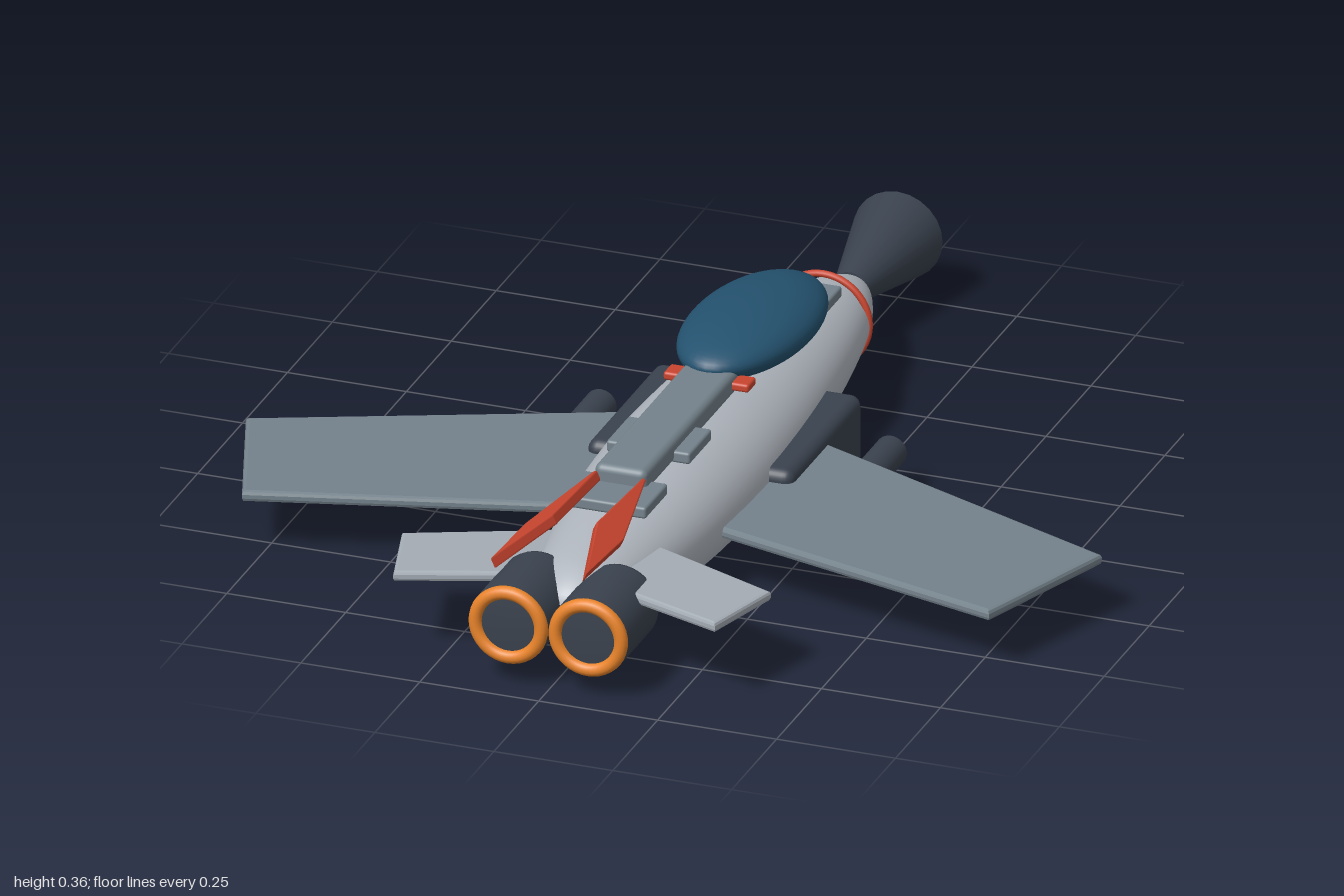
import * as THREE from 'three';
import { RoundedBoxGeometry } from 'three/addons/geometries/RoundedBoxGeometry.js';

const paint = (color) => new THREE.MeshStandardMaterial({ color });

export function createModel() {
  const model = new THREE.Group();
  const hull = paint(0xb0b6be), dark = paint(0x3a424e), wingGrey = paint(0x74828b);
  const tailGrey = paint(0xa4acb4), glass = paint(0x24526f), red = paint(0xc9452f), orange = paint(0xe8832a);

  const add = (name, geometry, material, x = 0, y = 0, z = 0) => {
    const mesh = new THREE.Mesh(geometry, material);
    mesh.name = name;
    mesh.position.set(x, y, z);
    model.add(mesh);
    return mesh;
  };
  const box = (w, h, d, r) => new RoundedBoxGeometry(w, h, d, 3, r);
  // cylinder lying along z
  const barrel = (rFront, rBack, length, sides = 32) =>
    new THREE.CylinderGeometry(rFront, rBack, length, sides).rotateX(Math.PI / 2);
  // horizontal bevelled plate from [x, z] corners, centred on y = 0
  const plate = (corners, thickness, bevel) => {
    const shape = new THREE.Shape(corners.map(([x, z]) => new THREE.Vector2(x, -z)));
    const g = new THREE.ExtrudeGeometry(shape, {
      depth: thickness - 2 * bevel, bevelEnabled: true, bevelSize: bevel,
      bevelThickness: bevel, bevelOffset: -bevel, bevelSegments: 2,
    });
    return g.translate(0, 0, bevel - thickness / 2).rotateX(-Math.PI / 2);
  };

  // fuselage: turned profile [radius, z], flattened in height
  const profile = [[0.001, -0.755], [0.035, -0.74], [0.068, -0.68], [0.098, -0.585], [0.127, -0.42],
    [0.152, -0.2], [0.166, 0], [0.17, 0.18], [0.16, 0.4], [0.132, 0.62], [0.108, 0.76],
    [0.084, 0.82], [0.045, 0.862], [0.001, 0.875]].map(([r, z]) => new THREE.Vector2(r, z));
  const smooth = new THREE.SplineCurve(profile).getPoints(64);
  smooth.forEach((p) => { p.x = Math.max(p.x, 0); });
  add('fuselage', new THREE.LatheGeometry(smooth, 48).rotateX(Math.PI / 2).scale(1, 0.79, 1), hull, 0, 0.138, 0);

  // flared cone and red band at the narrow end
  add('flaredCone', barrel(0.035, 0.094, 0.265, 24), dark, 0, 0.139, -0.8675);
  add('redBand', new THREE.TorusGeometry(0.097, 0.007, 12, 48), red, 0, 0.14, -0.585);

  // canopy, slightly tilted
  const canopy = add('canopy', new THREE.SphereGeometry(1, 48, 32).scale(0.125, 0.06, 0.265), glass, 0, 0.3, -0.19);
  canopy.rotation.x = -0.055;

  // spine and the plates across the back
  add('spine', box(0.11, 0.05, 0.53, 0.015), wingGrey, 0, 0.287, 0.285);
  for (const [z, y] of [[-0.395, 0.269], [0.33, 0.276], [0.575, 0.265]]) {
    add('backPlate', box(0.176, 0.025, 0.125, 0.006), wingGrey, 0, y, z);
  }
  add('redCrossbar', box(0.18, 0.018, 0.045, 0.006), red, 0, 0.287, 0.048);

  for (const s of [1, -1]) {
    const side = s > 0 ? 'left' : 'right';
    const mirror = (pts) => pts.map(([x, z]) => [s * x, z]);

    // wings and tailplanes
    add(side + 'Wing', plate(mirror([[0.08, -0.099], [0.9, 0.247], [0.785, 0.573], [0.08, 0.378]]), 0.024, 0.008),
      wingGrey, 0, 0.13, 0);
    add(side + 'Tailplane', plate(mirror([[0.05, 0.59], [0.388, 0.735], [0.338, 0.915], [0.05, 0.81]]), 0.022, 0.007),
      tailGrey, 0, 0.18, 0);

    // side intake and underwing pod
    add(side + 'Intake', box(0.116, 0.155, 0.4, 0.022), dark, s * 0.159, 0.09, -0.034);
    add(side + 'Pod', barrel(0.033, 0.033, 0.41), dark, s * 0.305, 0.091, 0.05);

    // engine with rounded shoulder, bright nozzle ring and dark outlet
    const nozzle = [[0, 0.76], [0.07, 0.76], [0.08, 0.766], [0.083, 0.776], [0.083, 0.94], [0.078, 0.948], [0, 0.948]];
    const engine = new THREE.LatheGeometry(nozzle.map(([r, z]) => new THREE.Vector2(r, z)), 36);
    add(side + 'Engine', engine.rotateX(Math.PI / 2), dark, s * 0.084, 0.132, 0);
    add(side + 'NozzleRing', new THREE.TorusGeometry(0.069, 0.014, 14, 40), orange, s * 0.084, 0.132, 0.946);

    // slanted red tail blade
    const blade = add(side + 'TailBlade',
      plate(mirror([[-0.03, -0.23], [-0.022, -0.23], [0.032, 0.02], [0.028, 0.22], [-0.032, 0.02]]), 0.022, 0.003),
      red, s * 0.071, 0.288, 0.78);
    blade.rotation.set(-0.05, 0, -s * 0.45);
  }
  return model;
}
